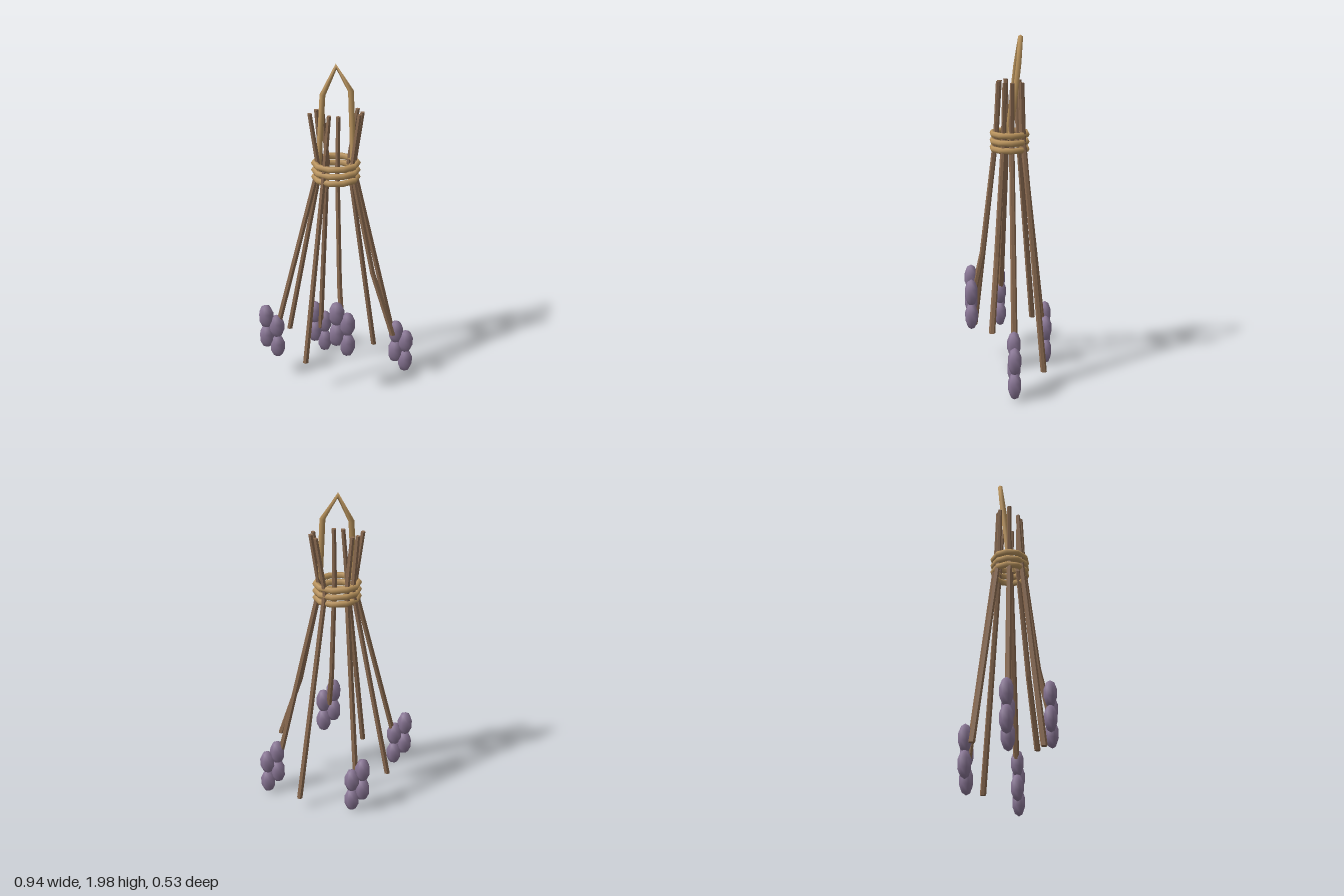
import * as THREE from 'three';

const bark = new THREE.MeshStandardMaterial({ color: 0x8a6a50 });
bark.name = 'brown stem';
const twine = new THREE.MeshStandardMaterial({ color: 0xba945e });
twine.name = 'tan twine';
const petal = new THREE.MeshStandardMaterial({ color: 0x8a7796 });
petal.name = 'dusty purple';

// Straight runs between points, with one tube ring on each point
class Polyline extends THREE.Curve {
  constructor(points) {
    super();
    this.points = points.map(p => new THREE.Vector3(...p));
  }
  getPoint(t, target = new THREE.Vector3()) {
    const n = this.points.length - 1;
    const i = Math.min(Math.floor(t * n), n - 1);
    return target.lerpVectors(this.points[i], this.points[i + 1], t * n - i);
  }
  getUtoTmapping(u) { return u; }
}

// Faceted rod whose rows follow the points from top to bottom, tapering
function rod(points, rTop, rBottom) {
  const rows = points.length - 1;
  const geo = new THREE.CylinderGeometry(1, 1, 1, 6, rows);
  const pos = geo.attributes.position;
  for (let i = 0; i < pos.count; i++) {
    const t = 0.5 - pos.getY(i);
    const [x, y, z] = points[Math.round(t * rows)];
    const r = rTop + (rBottom - rTop) * t;
    pos.setXYZ(i, x + pos.getX(i) * r, y, z + pos.getZ(i) * r);
  }
  const flat = geo.toNonIndexed();
  flat.computeVertexNormals();
  return flat;
}

// Stems: top, tie, (bend), foot
const STEMS = [
  [[0.137, 1.74, -0.01], [0.09, 1.42, -0.01], [0.34, 0.3, -0.01]],
  [[0.12, 1.74, 0.03], [0.08, 1.42, 0.035], [0.205, 0.78, 0.08], [0.33, 0.37, 0.115]],
  [[0.005, 1.74, 0.06], [0, 1.42, 0.075], [0.012, 0.75, 0.155], [0.025, 0.5, 0.21]],
  [[-0.045, 1.74, 0.05], [-0.072, 1.42, 0.07], [-0.19, 0.23, 0.2]],
  [[-0.15, 1.74, 0.01], [-0.105, 1.42, 0.005], [-0.355, 0.4, 0.03]],
  [[-0.115, 1.74, -0.05], [-0.09, 1.42, -0.06], [-0.3, 0.23, -0.165]],
  [[-0.083, 1.74, -0.065], [-0.055, 1.42, -0.08], [-0.105, 0.2, -0.215]],
  [[0.112, 1.74, -0.065], [0.065, 1.42, -0.077], [0.235, 0.09, -0.187]],
];

// Uppermost bud of each flower cluster
const CLUSTERS = [
  [0.36, 0.307, -0.006],
  [-0.005, 0.59, 0.223],
  [-0.43, 0.45, 0.033],
  [-0.142, 0.307, -0.228],
];

export function createModel() {
  const model = new THREE.Group();
  model.name = 'hangingDriedFlowers';
  const add = (name, geo, mat, parent = model) => {
    const mesh = new THREE.Mesh(geo, mat);
    mesh.name = name;
    parent.add(mesh);
    return mesh;
  };

  // Spread stems, pinched at the tie
  STEMS.forEach((points, i) => add(`stem${i + 1}`, rod(points, 0.013, 0.018), bark));

  // Drooping clusters of four buds in two staggered columns
  const bud = new THREE.SphereGeometry(1, 7, 5).rotateY(Math.PI).scale(0.047, 0.081, 0.04);
  CLUSTERS.forEach((p, i) => {
    const cluster = new THREE.Group();
    cluster.name = `flowerCluster${i + 1}`;
    cluster.position.set(...p);
    for (let k = 0; k < 4; k++) {
      add(`bud${k + 1}`, bud, petal, cluster).position.set((k % 2) * 0.063, -0.072 * k, 0);
    }
    model.add(cluster);
  });

  // Three oval coils of twine
  const coil = new THREE.TorusGeometry(0.121, 0.018, 6, 10).rotateX(Math.PI / 2).scale(1, 1, 0.84);
  for (let k = 0; k < 3; k++) {
    add(`tieCoil${k + 1}`, coil, twine).position.set(-0.008, 1.36 + 0.042 * k, -0.004);
  }

  // Hanging loop leaning back
  const loop = new Polyline([
    [-0.105, 1.42, 0.0], [-0.08, 1.825, -0.045], [-0.006, 1.978, -0.065],
    [0.074, 1.845, -0.05], [0.09, 1.42, 0.0],
  ]);
  add('hangingLoop', new THREE.TubeGeometry(loop, 4, 0.016, 6), twine);

  return model;
}
